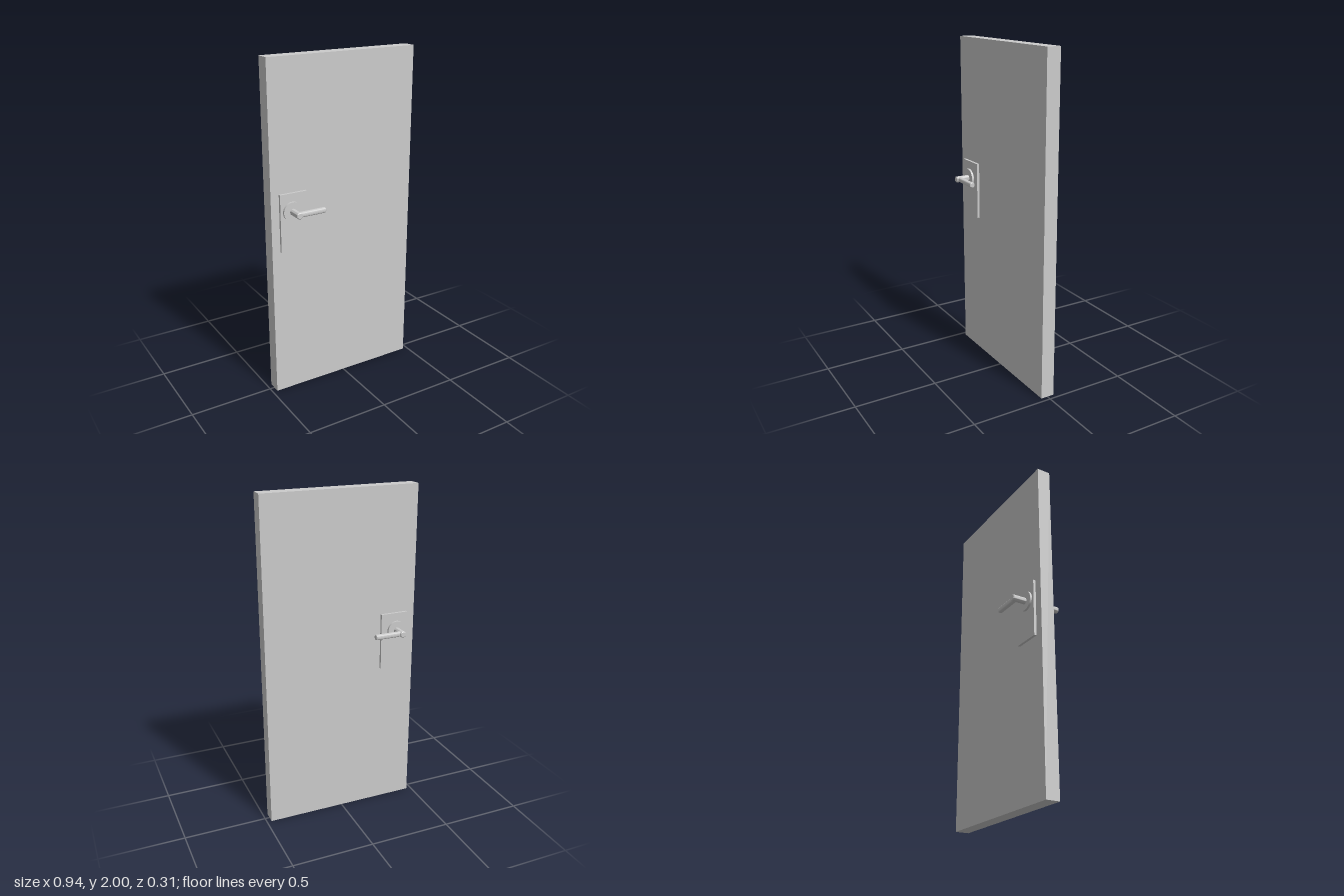
import * as THREE from 'three';
import { toCreasedNormals } from 'three/addons/utils/BufferGeometryUtils.js';

const material = new THREE.MeshStandardMaterial({ color: 0xcccccc });

function part(name, geometry, x, y, z) {
  const mesh = new THREE.Mesh(geometry, material);
  mesh.name = name;
  mesh.position.set(x, y, z);
  return mesh;
}

// Round bar along +y from 0 to length, with a small bevel on its far end
function bar(radius, length, bevel) {
  const profile = [
    [0, 0], [radius, 0], [radius, length - bevel], [radius - bevel, length], [0, length],
  ].map(([r, h]) => new THREE.Vector2(r, h));
  return toCreasedNormals(new THREE.LatheGeometry(profile, 32), 0.6);
}

const PIVOT_X = -0.348, PIVOT_Y = 1.144;

// Plate, rose, spindle and lever for one face of the door; side is +1 front, -1 back
function handleSet(name, side) {
  const set = new THREE.Group();
  set.name = name;

  set.add(part('backPlate', new THREE.BoxGeometry(0.17, 0.344, 0.017), -0.336, 1.078, side * 0.0485));

  const rose = part('rose', new THREE.CylinderGeometry(0.057, 0.057, 0.015, 48), PIVOT_X, PIVOT_Y, side * 0.062);
  rose.rotation.x = Math.PI / 2;
  set.add(rose);

  const spindle = part('spindle', bar(0.019, 0.098, 0.004), PIVOT_X, PIVOT_Y, side * 0.055);
  spindle.rotation.x = side * Math.PI / 2;
  set.add(spindle);

  const lever = part('lever', bar(0.0165, 0.171, 0.003), PIVOT_X, PIVOT_Y, side * 0.129);
  lever.rotation.z = -Math.PI / 2;
  set.add(lever);
  return set;
}

export function createModel() {
  const model = new THREE.Group();
  model.name = 'door';
  model.add(part('doorPanel', new THREE.BoxGeometry(0.943, 2, 0.083), 0, 1, 0));
  model.add(handleSet('frontHandle', 1), handleSet('backHandle', -1));
  return model;
}
